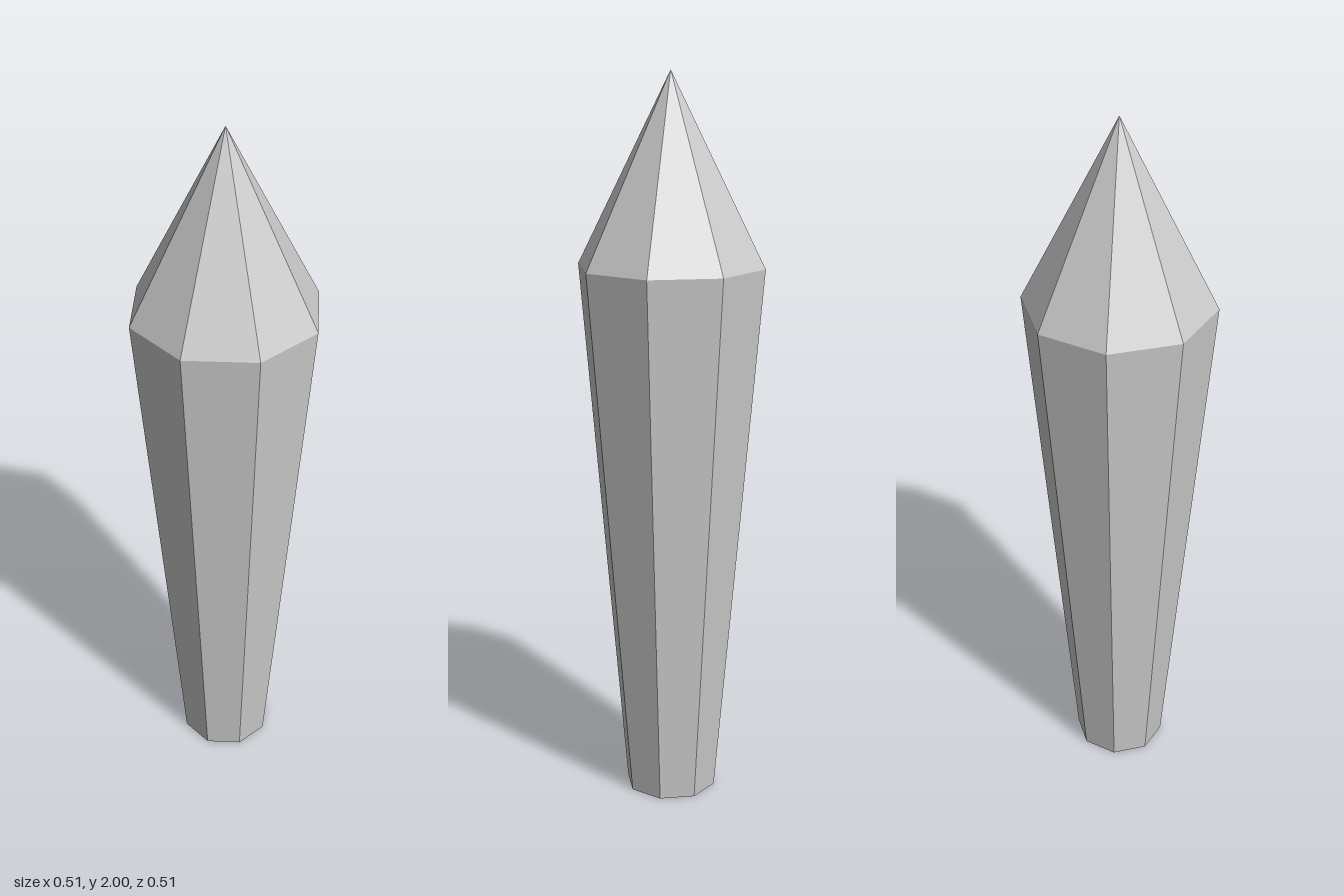
import * as THREE from 'three';

const SIDES = 8;
const BASE_RADIUS = 0.127;
const SHOULDER_RADIUS = 0.257;
const SHOULDER_Y = 1.49;
const TIP_Y = 2;

export function createModel() {
  const group = new THREE.Group();
  group.name = 'crystal';
  const material = new THREE.MeshStandardMaterial({ color: 0xcccccc, flatShading: true });

  const add = (name, geometry, y) => {
    const mesh = new THREE.Mesh(geometry, material);
    mesh.name = name;
    mesh.position.y = y;
    group.add(mesh);
    return mesh;
  };

  // Tapered eight-sided shaft, widening towards the shoulder
  add('shaft', new THREE.CylinderGeometry(SHOULDER_RADIUS, BASE_RADIUS, SHOULDER_Y, SIDES, 1, true), SHOULDER_Y / 2);

  // Flat underside
  add('base', new THREE.CircleGeometry(BASE_RADIUS, SIDES), 0).rotation.x = Math.PI / 2;

  // Pointed tip
  const tipHeight = TIP_Y - SHOULDER_Y;
  add('tip', new THREE.ConeGeometry(SHOULDER_RADIUS, tipHeight, SIDES, 1, true), SHOULDER_Y + tipHeight / 2);

  return group;
}
